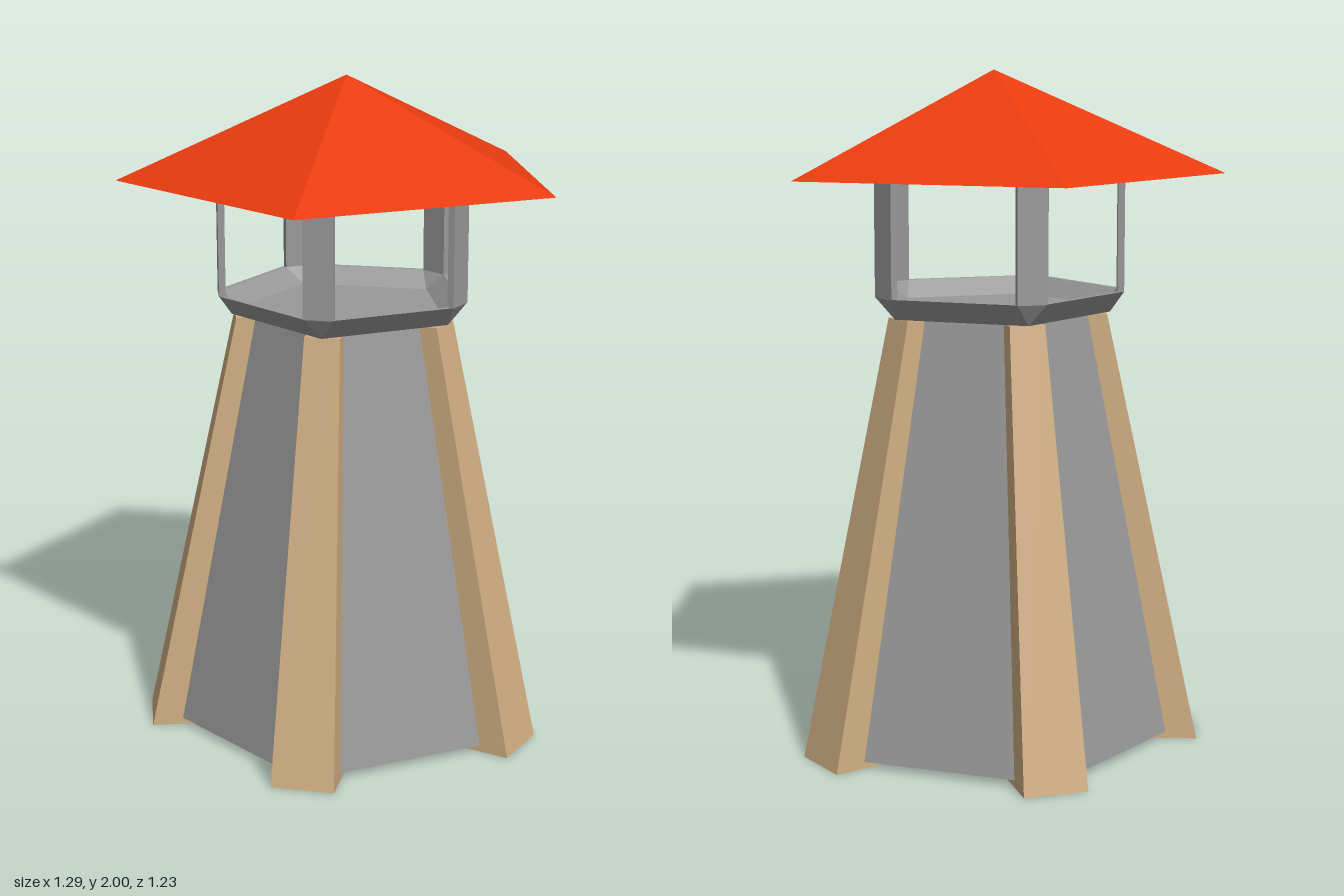
import * as THREE from 'three';

const SIDES = 5;
const paint = (color) => new THREE.MeshStandardMaterial({ color, flatShading: true });

// Five-sided ring; each corner is cut off to a flat of half width w.
function ring(r, w, y) {
  const points = [];
  for (let i = 0; i < SIDES; i++) {
    const a = (i / SIDES) * Math.PI * 2;
    for (const s of [-w, w]) {
      points.push([r * Math.sin(a) + s * Math.cos(a), y, r * Math.cos(a) - s * Math.sin(a)]);
    }
  }
  return points;
}

// Skin a list of [radius, cornerHalfWidth, height] rings into a flat-shaded solid.
function loft(profile) {
  const rings = profile.map((p) => ring(...p));
  const n = SIDES * 2;
  const pos = [];
  const v = [new THREE.Vector3(), new THREE.Vector3(), new THREE.Vector3()];
  const tri = (...corners) => {
    corners.forEach((c, i) => v[i].fromArray(c));
    const area = v[1].clone().sub(v[0]).cross(v[2].clone().sub(v[0])).length();
    if (area > 1e-9) corners.forEach((c) => pos.push(...c));
  };
  for (let k = 0; k < rings.length - 1; k++) {
    for (let i = 0; i < n; i++) {
      const j = (i + 1) % n;
      tri(rings[k][i], rings[k][j], rings[k + 1][j]);
      tri(rings[k][i], rings[k + 1][j], rings[k + 1][i]);
    }
  }
  const geometry = new THREE.BufferGeometry();
  geometry.setAttribute('position', new THREE.Float32BufferAttribute(pos, 3));
  geometry.computeVertexNormals();
  return geometry;
}

// Slanted beam leaning inwards and tapering towards the top.
function beamGeometry() {
  const geometry = new THREE.BoxGeometry(1, 1, 1);
  const p = geometry.attributes.position;
  for (let i = 0; i < p.count; i++) {
    const top = p.getY(i) > 0;
    const outer = p.getZ(i) > 0;
    const radius = top ? (outer ? 0.335 : 0.22) : (outer ? 0.615 : 0.43);
    p.setXYZ(i, p.getX(i) * (top ? 0.105 : 0.19), top ? 1.29 : 0, radius);
  }
  geometry.computeVertexNormals();
  return geometry;
}

export function createModel() {
  const model = new THREE.Group();
  model.name = 'watchtower';
  const tower = new THREE.Group();
  tower.name = 'tower';
  tower.position.z = -0.062;
  model.add(tower);

  const grey = paint(0x999999);
  const wood = paint(0xcfae82);
  const red = paint(0xe83b0f);

  const add = (name, geometry, material) => {
    const mesh = new THREE.Mesh(geometry, material);
    mesh.name = name;
    tower.add(mesh);
    return mesh;
  };

  // Tapered tower walls
  add('towerBody', loft([[0, 0, 0.02], [0.59, 0, 0.02], [0.315, 0, 1.29], [0, 0, 1.29]]), grey);

  // Hollow lookout tray: flared outside, thin rim, sunken floor
  add('lookoutPlatform', loft([
    [0, 0, 1.29], [0.345, 0, 1.29], [0.385, 0.045, 1.355],
    [0.365, 0.045, 1.355], [0.335, 0, 1.305], [0, 0, 1.305],
  ]), grey);

  // Roof with a hollow underside above the posts
  add('roof', loft([
    [0, 0, 1.9], [0.365, 0.045, 1.7], [0.68, 0, 1.7], [0, 0, 2],
  ]), red);

  // One beam and one post at every corner
  const beam = beamGeometry();
  const post = new THREE.BoxGeometry(0.09, 0.35, 0.02).translate(0, 1.528, 0.375);
  for (let i = 0; i < SIDES; i++) {
    const angle = (i / SIDES) * Math.PI * 2;
    add('cornerBeam', beam, wood).rotation.y = angle;
    add('roofPost', post, grey).rotation.y = angle;
  }
  return model;
}
